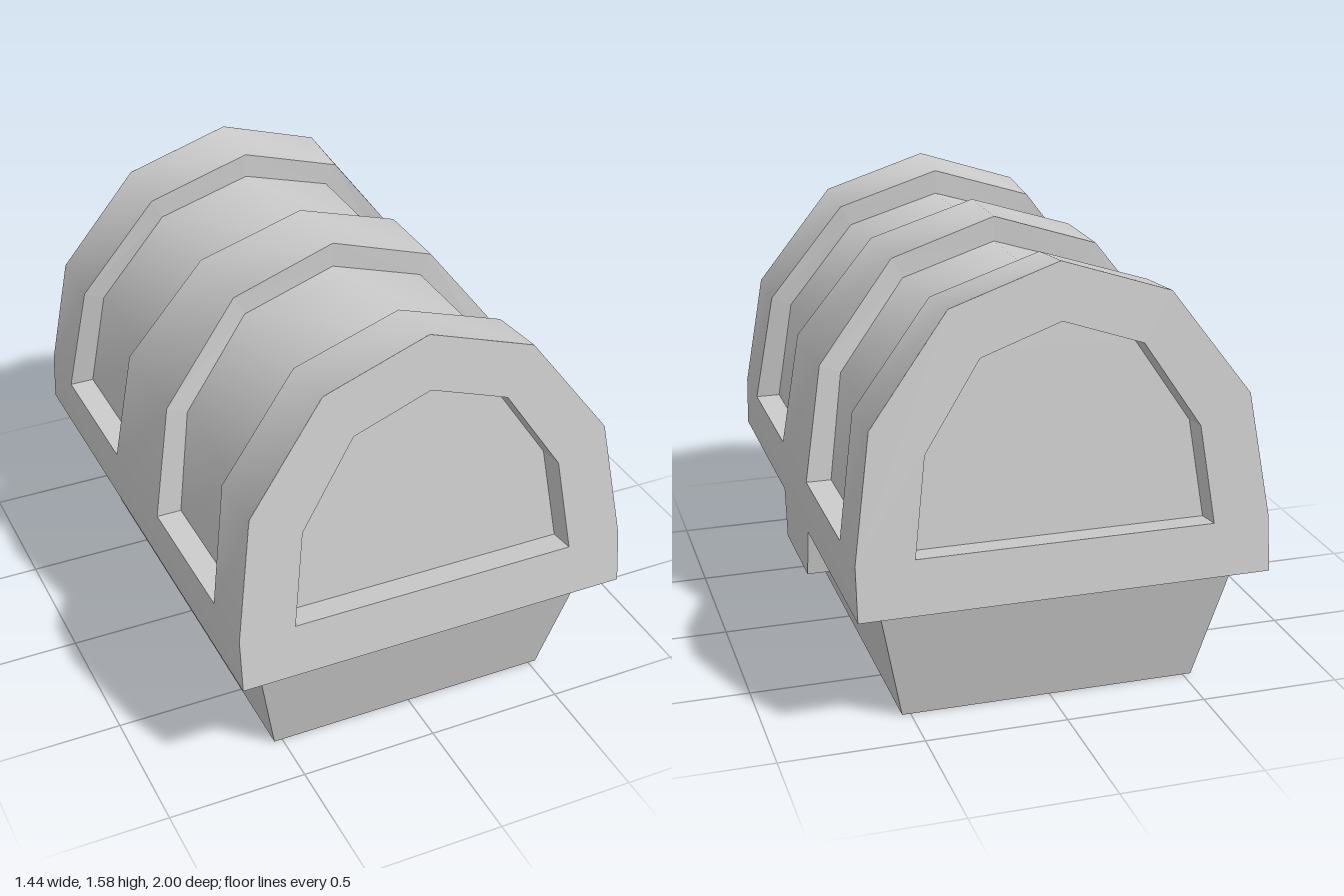
import * as THREE from 'three';

const mat = new THREE.MeshStandardMaterial({ color: 0xcccccc, side: THREE.DoubleSide });

// Half profiles run from the +x side up to the crown; mirror() completes the arch.
const mirror = half => [...half, ...half.slice(0, -1).reverse().map(([x, ...rest]) => [-x, ...rest])];
// x, y, then z of the end, of the end band's inner edge and of the middle band's edge
const LID = mirror([
  [0.72, 0.46, 1.0, 0.755, 0.215],
  [0.72, 0.65, 0.977, 0.755, 0.215],
  [0.655, 1.085, 0.924, 0.695, 0.19],
  [0.38, 1.45, 0.88, 0.655, 0.15],
  [0, 1.575, 0.865, 0.645, 0.138],
]);
const BARREL = mirror([[0.63, 0.65], [0.58, 1.04], [0.34, 1.355], [0, 1.46]]);
const PANEL = mirror([[0.52, 0.65], [0.475, 0.99], [0.28, 1.285], [0, 1.38]]);

function mesh(name, geometry) {
  const m = new THREE.Mesh(geometry, mat);
  m.name = name;
  return m;
}

// Skin over rows of points; skip(r, c) leaves a quad open, flat gives faceted normals.
function loft(rows, flat = false, skip = () => false) {
  const n = rows[0].length, index = [];
  for (let r = 0; r < rows.length - 1; r++) {
    for (let c = 0; c < n - 1; c++) {
      if (skip(r, c)) continue;
      const a = r * n + c, d = a + n;
      index.push(a, a + 1, d, a + 1, d + 1, d);
    }
  }
  let g = new THREE.BufferGeometry();
  g.setAttribute('position', new THREE.Float32BufferAttribute(rows.flat(2), 3));
  g.setIndex(index);
  if (flat) g = g.toNonIndexed();
  g.computeVertexNormals();
  return g;
}

// Lid outline at one z station: k picks the z column, sign the half.
function lidRow(k, sign) {
  const squash = k === 2 ? 1 : 0.973;
  return LID.map(p => [p[0], p[1] <= 0.65 ? p[1] : 0.65 + (p[1] - 0.65) * squash, sign * p[k]]);
}

// Sunken barrel section between the middle band and one end band
function recess(sign) {
  const g = new THREE.Group();
  g.name = sign > 0 ? 'frontBarrelSection' : 'backBarrelSection';
  const ks = sign > 0 ? [4, 3] : [3, 4];
  const [outLow, outHigh] = ks.map(k => lidRow(k, sign).slice(1, -1));
  const [inLow, inHigh] = [outLow, outHigh].map(o => BARREL.map(([x, y], i) => [x, y, o[i][2]]));
  g.add(mesh('barrel', loft([inLow, inHigh])));
  g.add(mesh('bandWall', loft([outLow, inLow], true)));
  g.add(mesh('bandWall', loft([inHigh, outHigh], true)));
  const e = BARREL.length - 1;
  g.add(mesh('leftSill', loft([[inLow[0], inHigh[0]], [outLow[0], outHigh[0]]], true)));
  g.add(mesh('rightSill', loft([[outLow[e], outHigh[e]], [inLow[e], inHigh[e]]], true)));
  return g;
}

// Leaning end wall with a sunken panel
function endWall(name) {
  const g = new THREE.Group();
  g.name = name;
  const toShape = pts => new THREE.Shape(pts.map(p => new THREE.Vector2(p[0], p[1])));
  const lean = y => 1 - 0.121 * (y - 0.46);
  const leaned = shape => {
    const geo = new THREE.ShapeGeometry(shape), p = geo.attributes.position;
    for (let i = 0; i < p.count; i++) p.setZ(i, lean(p.getY(i)));
    geo.computeVertexNormals();
    return geo;
  };
  const frame = toShape(LID);
  frame.holes.push(toShape(PANEL));
  g.add(mesh('endFrame', leaned(frame)));
  g.add(mesh('endPanel', leaned(toShape(PANEL)).translate(0, -0.012, -0.1)));
  const rim = [...PANEL, PANEL[0]].map(([x, y]) => [x, y, lean(y)]);
  const back = rim.map(([x, y, z]) => [x, y - 0.012, z - 0.1]);
  g.add(mesh('panelRim', loft([rim, back], true)));
  return g;
}

export function createModel() {
  const model = new THREE.Group();
  model.name = 'chest';

  // Tapered base
  const base = new THREE.BoxGeometry(1.26, 0.46, 1.82).translate(0, 0.23, 0);
  const p = base.attributes.position;
  for (let i = 0; i < p.count; i++) {
    if (p.getY(i) < 0.1) p.setXYZ(i, Math.sign(p.getX(i)) * 0.53, 0, Math.sign(p.getZ(i)) * 0.805);
  }
  base.computeVertexNormals();
  model.add(mesh('base', base));

  // Lid skin: end bands, middle band and skirt, open over the two sunken sections
  const lid = new THREE.Group();
  lid.name = 'lid';
  const rows = [[2, -1], [3, -1], [4, -1], [4, 1], [3, 1], [2, 1]].map(([k, s]) => lidRow(k, s));
  const open = (r, c) => (r === 1 || r === 3) && c > 0 && c < LID.length - 2;
  lid.add(mesh('lidBands', loft(rows, false, open)));
  lid.add(recess(1), recess(-1));

  // Ends and underside
  const backEnd = endWall('backEnd');
  backEnd.rotation.y = Math.PI;
  lid.add(endWall('frontEnd'), backEnd);
  lid.add(mesh('lidUnderside', new THREE.PlaneGeometry(1.44, 2).rotateX(Math.PI / 2).translate(0, 0.46, 0)));
  model.add(lid);

  // Clasp hanging from the middle band on the +x side
  const clasp = new THREE.Shape([[-0.215, 0.46], [-0.185, 0.28], [0.185, 0.28], [0.215, 0.46]]
    .map(([x, y]) => new THREE.Vector2(x, y)));
  const claspGeo = new THREE.ExtrudeGeometry(clasp, { depth: 0.2, bevelEnabled: false });
  model.add(mesh('clasp', claspGeo.rotateY(Math.PI / 2).translate(0.52, 0, 0)));

  return model;
}
